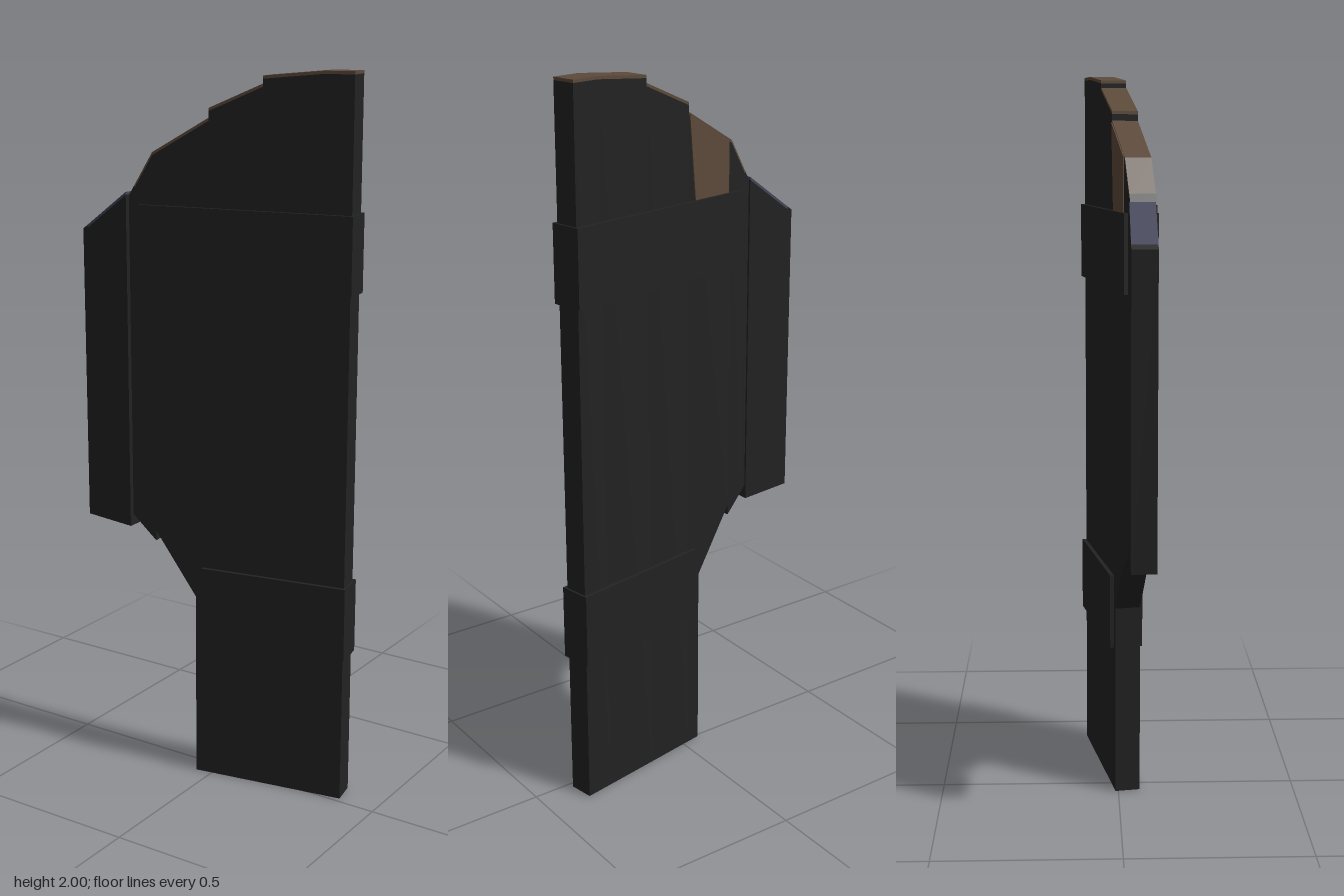
import * as THREE from 'three';

export function createModel() {
  const model = new THREE.Group();
  const mat = (name, color) => {
    const m = new THREE.MeshStandardMaterial({ color });
    m.name = name;
    return m;
  };
  const dark = mat('charred black', 0x222222);
  const wood = mat('brown wood', 0x5c4a3a);
  const slate = mat('slate purple', 0x46465c);

  // Extruded outline, centred on its own thickness
  function slab(name, points, depth, material, parent, z = 0) {
    const shape = new THREE.Shape(points.map(([x, y]) => new THREE.Vector2(x, y)));
    const geo = new THREE.ExtrudeGeometry(shape, { depth, bevelEnabled: false });
    geo.translate(0, 0, z - depth / 2);
    const mesh = new THREE.Mesh(geo, material);
    mesh.name = name;
    parent.add(mesh);
  }

  // Plank with a thin coloured end-grain cap; bottom runs left to right
  const CAP = 0.008;
  function plank(name, bottom, [a, b], depth, capMat, parent, z = 0) {
    const low = ([x, y]) => [x, y - CAP];
    slab(name, [...bottom, low(b), low(a)], depth, dark, parent, z);
    slab(name + 'Cap', [low(a), low(b), b, a], depth, capMat, parent, z);
  }

  // Main panel, turned slightly about the vertical
  const panel = new THREE.Group();
  panel.name = 'panel';
  panel.rotation.y = THREE.MathUtils.degToRad(10);
  panel.position.z = 0.017;
  model.add(panel);

  const T = 0.07;
  plank('endPlank', [[0.305, 0], [0.387, 0]], [[0.305, 2], [0.387, 2]], T, wood, panel);
  plank('tallPlank', [[0.14, 0], [0.305, 0]], [[0.14, 1.985], [0.305, 2]], T, wood, panel);
  plank('middlePlank', [[-0.012, 0], [0.14, 0]], [[-0.012, 1.9], [0.14, 1.965]], T, wood, panel);
  plank('cutPlank', [[-0.177, 0.72], [-0.055, 0.54], [-0.055, 0], [-0.012, 0]],
    [[-0.177, 1.78], [-0.012, 1.875]], T, wood, panel);
  plank('edgeStrip', [[-0.231, 0.743], [-0.177, 0.69]], [[-0.231, 1.69], [-0.177, 1.78]], T, wood, panel);
  slab('edgeStripRim', [[-0.248, 0.76], [-0.231, 0.743], [-0.231, 1.69], [-0.248, 1.662]], T, dark, panel);

  // Bare wood patch on the back above the upper band
  slab('barePatch', [[-0.165, 1.6], [-0.04, 1.6], [-0.014, 1.87], [-0.165, 1.785]], 0.004, wood, panel, -0.036);

  // Two crosswise bands
  for (const [name, x0, x1, y0, y1] of [
    ['upperBand', -0.217, 0.393, 1.43, 1.64],
    ['lowerBand', -0.034, 0.393, 0.42, 0.63],
  ]) {
    slab(name, [[x0, y0], [x1, y0], [x1, y1], [x0, y1]], 0.092, dark, panel);
  }

  // Separate side plank, facing straight forward
  plank('sidePlank', [[-0.385, 0.73], [-0.252, 0.72]], [[-0.385, 1.571], [-0.252, 1.67]], 0.068, slate, model, 0.056);
  slab('sidePlankRim', [[-0.4, 0.731], [-0.385, 0.73], [-0.385, 1.571], [-0.4, 1.56]], 0.068, dark, model, 0.056);

  return model;
}
